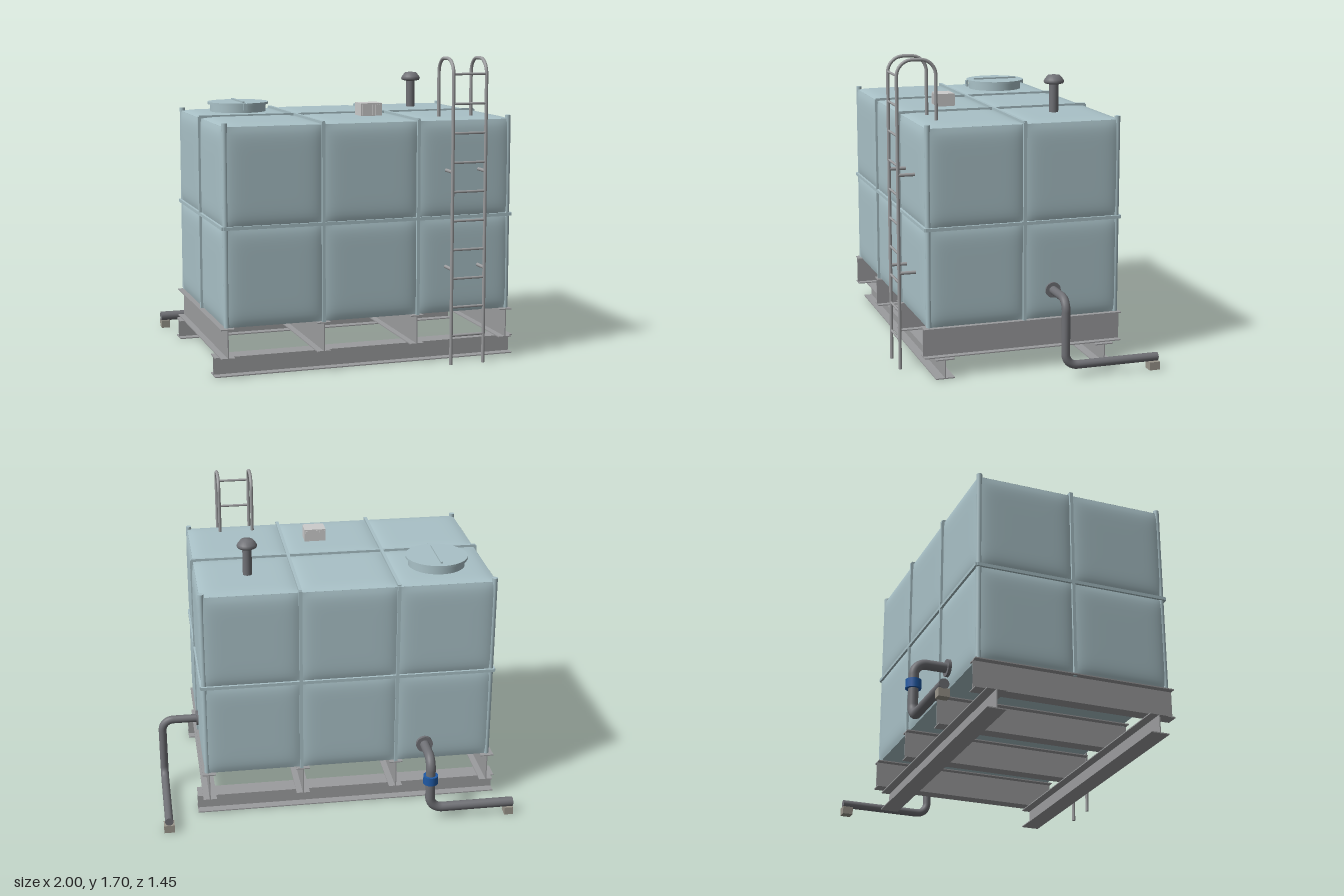
import * as THREE from 'three';

const material = (color) => new THREE.MeshStandardMaterial({ color, side: THREE.DoubleSide });
const TANK = material(0xa9c1c7), STEEL = material(0x9b9c9e), PIPE = material(0x707176);
const BLUE = material(0x1f5aa6), STONE = material(0x9a968c), GREY = material(0xcccccc);

function add(parent, name, geometry, mat, x = 0, y = 0, z = 0) {
  const mesh = new THREE.Mesh(geometry, mat);
  mesh.name = name;
  mesh.position.set(x, y, z);
  parent.add(mesh);
  return mesh;
}
const box = (w, h, d) => new THREE.BoxGeometry(w, h, d);
const cyl = (r, h, n = 24) => new THREE.CylinderGeometry(r, r, h, n);

// Round bar following corner points, with each corner rounded off and both ends closed
function bentTube(parent, name, corners, radius, bend, mat) {
  const group = new THREE.Group();
  group.name = name;
  parent.add(group);
  const pts = corners.map((c) => new THREE.Vector3(...c));
  const path = new THREE.CurvePath();
  let from = pts[0];
  for (let i = 1; i < pts.length - 1; i++) {
    const p = pts[i];
    const a = p.clone().add(pts[i - 1].clone().sub(p).setLength(bend));
    const b = p.clone().add(pts[i + 1].clone().sub(p).setLength(bend));
    const k = 0.5523;
    path.add(new THREE.LineCurve3(from, a));
    path.add(new THREE.CubicBezierCurve3(a, a.clone().lerp(p, k), b.clone().lerp(p, k), b));
    from = b;
  }
  const last = pts[pts.length - 1];
  path.add(new THREE.LineCurve3(from, last));
  add(group, name + 'Tube', new THREE.TubeGeometry(path, 110, radius, 14), mat);
  [[pts[0], pts[1]], [last, pts[pts.length - 2]]].forEach(([end, next]) => {
    const cap = add(group, name + 'End', new THREE.CircleGeometry(radius, 14), mat, end.x, end.y, end.z);
    cap.lookAt(end.clone().multiplyScalar(2).sub(next));
  });
}

// I-section beam running along z, centred
function beamGeometry(width, height, length, t = 0.006) {
  const w = width / 2, h = height / 2, s = t / 2;
  const outline = [[-w, -h], [w, -h], [w, -h + t], [s, -h + t], [s, h - t], [w, h - t],
    [w, h], [-w, h], [-w, h - t], [-s, h - t], [-s, -h + t], [-w, -h + t]];
  const shape = new THREE.Shape(outline.map(([x, y]) => new THREE.Vector2(x, y)));
  return new THREE.ExtrudeGeometry(shape, { depth: length, bevelEnabled: false }).translate(0, 0, -length / 2);
}

// One tank wall: a grid of softly pillowed panels with ribs over the seams, facing +z
function wall(name, w, h, nx, ny) {
  const group = new THREE.Group();
  group.name = name;
  const pw = w / nx, ph = h / ny;
  const panel = new THREE.PlaneGeometry(pw, ph, 24, 24);
  const pos = panel.attributes.position;
  for (let i = 0; i < pos.count; i++) {
    const u = Math.abs(2 * pos.getX(i) / pw), v = Math.abs(2 * pos.getY(i) / ph);
    pos.setZ(i, 0.001 + 0.013 * (1 - u ** 8) * (1 - v ** 8));
  }
  panel.computeVertexNormals();
  for (let i = 0; i < nx; i++) {
    for (let j = 0; j < ny; j++) {
      add(group, 'panel', panel, TANK, (i + 0.5) * pw - w / 2, (j + 0.5) * ph - h / 2, 0);
    }
  }
  for (let i = 1; i < nx; i++) add(group, 'seamRib', box(0.018, h + 0.02, 0.034), TANK, i * pw - w / 2, 0, 0);
  for (let j = 1; j < ny; j++) add(group, 'seamRib', box(w + 0.02, 0.018, 0.034), TANK, 0, j * ph - h / 2, 0);
  return group;
}

function buildTank(root) {
  const tank = new THREE.Group();
  tank.name = 'tank';
  tank.position.set(-0.0785, 0.816, 0.071);
  root.add(tank);
  const W = 1.638, H = 1.076, D = 1.084;
  add(tank, 'tankCore', box(W, H, D), TANK);
  const place = (g, x, y, z, rx, ry) => {
    g.position.set(x, y, z);
    g.rotation.set(rx, ry, 0);
    tank.add(g);
  };
  place(wall('frontWall', W, H, 3, 2), 0, 0, D / 2, 0, 0);
  place(wall('backWall', W, H, 3, 2), 0, 0, -D / 2, 0, Math.PI);
  place(wall('leftWall', D, H, 2, 2), W / 2, 0, 0, 0, Math.PI / 2);
  place(wall('rightWall', D, H, 2, 2), -W / 2, 0, 0, 0, -Math.PI / 2);
  place(wall('roof', W, D, 3, 2), 0, H / 2, 0, -Math.PI / 2, 0);
  for (const sx of [-1, 1]) {
    for (const sz of [-1, 1]) {
      add(tank, 'cornerPost', cyl(0.016, 1.095, 16), TANK, sx * (W / 2 - 0.008), 0.01, sz * (D / 2 - 0.008));
    }
  }
}

function buildBase(root) {
  const runner = beamGeometry(0.105, 0.11, 1.74).rotateY(Math.PI / 2);
  for (const z of [-0.385, 0.53]) add(root, 'baseRunner', runner, STEEL, -0.08, 0.055, z);
  const cross = beamGeometry(0.076, 0.165, 1.13);
  for (const x of [-0.89, -0.353, 0.187, 0.723]) add(root, 'crossBeam', cross, STEEL, x, 0.1925, 0.072);
}

function buildLadder(root) {
  const ladder = new THREE.Group();
  ladder.name = 'ladder';
  root.add(ladder);
  for (const x of [0.357, 0.55]) {
    bentTube(ladder, 'ladderRail', [[x, 0, 0.72], [x, 1.695, 0.72], [x, 1.695, 0.505], [x, 1.36, 0.505]], 0.0095, 0.085, STEEL);
    for (const y of [0.54, 1.08]) {
      add(ladder, 'wallBracket', cyl(0.0095, 0.1, 12), STEEL, x, y, 0.67).rotation.x = Math.PI / 2;
    }
  }
  for (let i = 0; i < 10; i++) {
    add(ladder, 'rung', cyl(0.007, 0.193, 10), STEEL, 0.4535, 0.165 + i * 0.161, 0.72).rotation.z = Math.PI / 2;
  }
}

function buildRoofFittings(root) {
  // Hatch with lid, grip bar and latch
  const hatch = new THREE.Group();
  hatch.name = 'hatch';
  hatch.position.set(-0.617, 0, -0.198);
  root.add(hatch);
  add(hatch, 'hatchNeck', cyl(0.16, 0.06, 48), TANK, 0, 1.38, 0);
  add(hatch, 'hatchLid', cyl(0.176, 0.013, 48), TANK, 0, 1.417, 0);
  add(hatch, 'hatchGrip', box(0.012, 0.012, 0.27), TANK, 0, 1.427, 0);
  add(hatch, 'hatchLatch', box(0.022, 0.038, 0.014), TANK, 0, 1.403, 0.181);

  // Mushroom vent
  const vent = new THREE.Group();
  vent.name = 'vent';
  vent.position.set(0.454, 0, -0.197);
  root.add(vent);
  add(vent, 'ventPipe', cyl(0.026, 0.19), PIPE, 0, 1.445, 0);
  const cap = [[0, 1.53], [0.03, 1.522], [0.052, 1.528], [0.057, 1.538], [0.052, 1.55], [0.034, 1.572], [0, 1.577]];
  add(vent, 'ventCap', new THREE.LatheGeometry(cap.map(([x, y]) => new THREE.Vector2(x, y)), 24), PIPE);

  // Sensor box with shallow fins
  add(root, 'controlBox', box(0.124, 0.078, 0.1), GREY, 0.01, 1.4, 0.313);
  for (let i = 0; i < 6; i++) {
    add(root, 'controlBoxFin', box(0.01, 0.06, 0.108), GREY, -0.04 + i * 0.02, 1.402, 0.313);
  }
}

function buildPipes(root) {
  // Overflow pipe on the left wall
  bentTube(root, 'overflowPipe', [[0.73, 0.435, -0.09], [0.965, 0.435, -0.09], [0.965, 0.068, -0.09], [0.965, 0.068, -0.625]],
    0.0235, 0.065, PIPE);
  add(root, 'overflowFlange', cyl(0.043, 0.018), PIPE, 0.757, 0.435, -0.09).rotation.z = Math.PI / 2;
  add(root, 'overflowFoot', box(0.06, 0.045, 0.06), STONE, 0.965, 0.0225, -0.6);

  // Drain pipe on the back wall
  bentTube(root, 'drainPipe', [[-0.515, 0.38, -0.46], [-0.515, 0.38, -0.682], [-0.515, 0.068, -0.682], [-1, 0.068, -0.682]],
    0.0275, 0.07, PIPE);
  add(root, 'drainFlange', cyl(0.048, 0.018), PIPE, -0.515, 0.38, -0.495).rotation.x = Math.PI / 2;
  add(root, 'drainCoupling', cyl(0.043, 0.05, 12), BLUE, -0.515, 0.255, -0.682);
  add(root, 'drainFoot', box(0.05, 0.045, 0.06), STONE, -0.975, 0.0225, -0.682);
}

export function createModel() {
  const root = new THREE.Group();
  root.name = 'waterTank';
  buildBase(root);
  buildTank(root);
  buildLadder(root);
  buildRoofFittings(root);
  buildPipes(root);
  return root;
}
